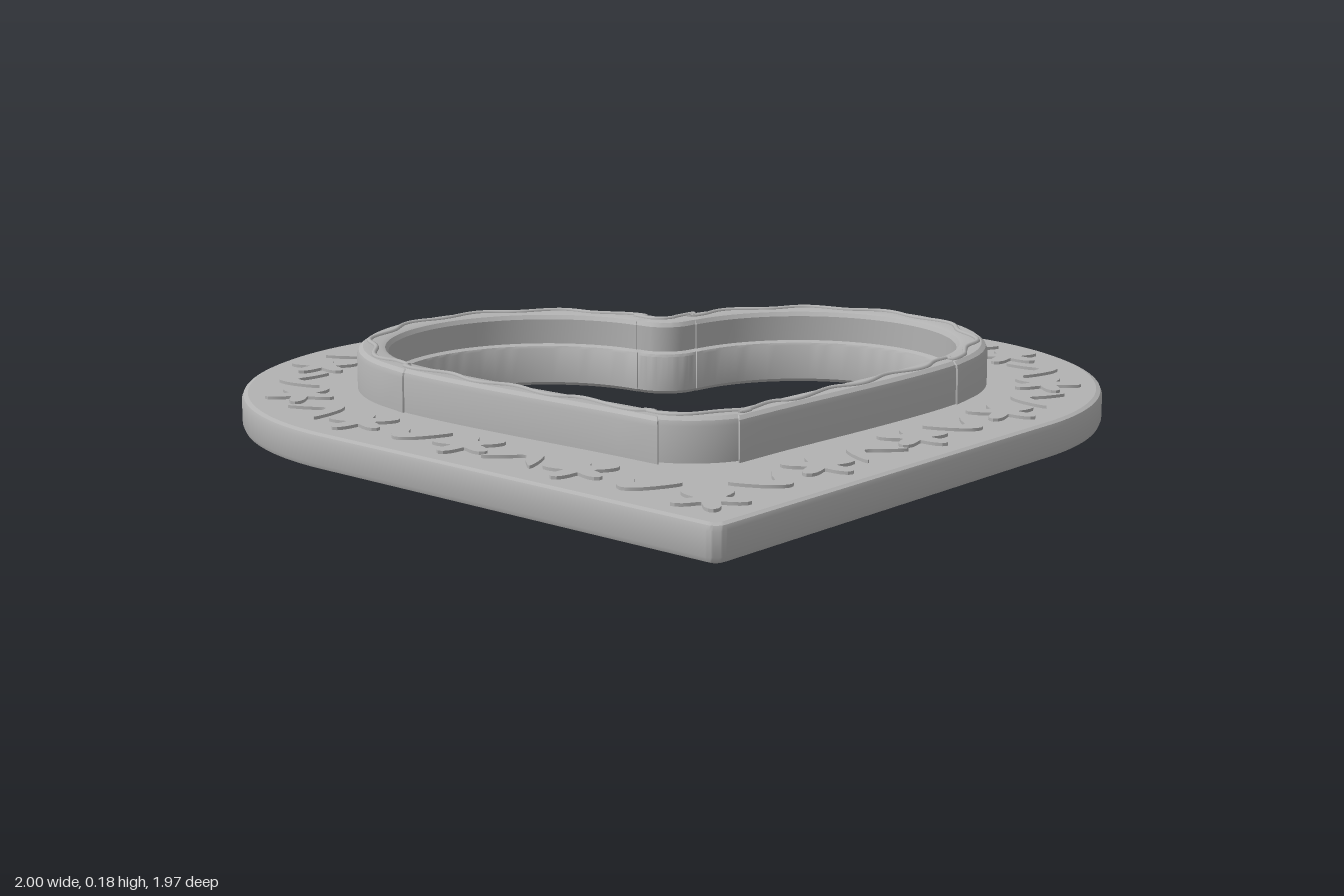
import * as THREE from 'three';
import { toCreasedNormals } from 'three/addons/utils/BufferGeometryUtils.js';

const V2 = (x, z) => new THREE.Vector2(x, z); // plan coordinates: x, z
const BASE_TOP = 0.08, ENGRAVE = 0.008, RELIEF = 0.007;
const rad = THREE.MathUtils.degToRad;

function arc(cx, cz, r, a0, a1, n) {
  return Array.from({ length: n + 1 }, (_, i) => {
    const a = rad(a0 + (a1 - a0) * i / n);
    return V2(cx + r * Math.cos(a), cz + r * Math.sin(a));
  });
}

// Closes a right-hand half outline with its mirror image
function mirrorOutline(half) {
  const pts = half.filter((p, i) => i === 0 || p.distanceTo(half[i - 1]) > 1e-4);
  const left = pts.slice(1, -1).reverse().map(p => V2(-p.x, p.y));
  return [...pts, ...left];
}

// Moves a closed outline outwards by d, keeping corners mitred
function offset(pts, d) {
  const n = pts.length;
  return pts.map((p, i) => {
    const t0 = p.clone().sub(pts[(i + n - 1) % n]).normalize();
    const t1 = pts[(i + 1) % n].clone().sub(p).normalize();
    const t = t0.clone().add(t1).normalize();
    const k = d / Math.max(0.4, t.dot(t1));
    return V2(p.x + t.y * k, p.y - t.x * k);
  });
}

// Sweeps a profile of [offset, height] pairs around a closed outline
function sweep(outline, profile) {
  const pos = [], idx = [], n = outline.length;
  profile.forEach(([d, y]) => offset(outline, d).forEach(p => pos.push(p.x, y, p.y)));
  for (let j = 0; j < profile.length - 1; j++) {
    for (let i = 0; i < n; i++) {
      const a = j * n + i, b = j * n + (i + 1) % n;
      idx.push(a, a + n, b, b, a + n, b + n);
    }
  }
  const g = new THREE.BufferGeometry();
  g.setAttribute('position', new THREE.Float32BufferAttribute(pos, 3));
  g.setIndex(idx);
  return toCreasedNormals(g, 0.6);
}

// Flat plate from y0 to y1, with holes
function plate(outline, holes, y0, y1) {
  const flip = pts => pts.map(p => V2(p.x, -p.y));
  const shape = new THREE.Shape(flip(outline));
  shape.holes = holes.map(h => new THREE.Path(flip(h)));
  const g = new THREE.ExtrudeGeometry(shape, { depth: y1 - y0, bevelEnabled: false });
  g.rotateX(-Math.PI / 2).translate(0, y0, 0);
  return toCreasedNormals(g, 0.6);
}

// Outer heart: two round lobes, straight flanks and a rounded tip
const LX = 0.308, LZ = -0.298, LR = 0.692;
const notch = THREE.MathUtils.radToDeg(Math.asin(LX / LR));
const heart = mirrorOutline([
  ...arc(LX, LZ, LR, -90 - notch, 45, 70),
  ...arc(0, 0.989 - 0.03 * Math.SQRT2, 0.03, 45, 90, 6),
]);

// Opening: softer heart with gently hollow flanks
const flank = new THREE.CubicBezierCurve(V2(0.584, -0.113), V2(0.48, 0.035), V2(0.19, 0.275), V2(0.085, 0.38));
const opening = mirrorOutline([
  ...arc(0, -0.615, 0.1, 90, 45, 6),
  ...arc(0.31, -0.305, 0.335, -135, 35, 48),
  ...flank.getPoints(24),
  ...arc(0, 0.295, 0.12, 45, 90, 8),
]);

// Ornament outlines
const flowerOutline = Array.from({ length: 50 }, (_, i) => {
  const a = i / 50 * Math.PI * 2, r = 0.058 + 0.025 * Math.cos(5 * a);
  return V2(r * Math.sin(a), r * Math.cos(a));
});
const leafOutline = new THREE.CatmullRomCurve3(
  [[-0.07, -0.05], [-0.035, 0.03], [0, 0.055], [0.035, 0.03], [0.07, -0.05], [0.03, -0.02], [0, 0.01], [-0.03, -0.02]]
    .map(([x, y]) => new THREE.Vector3(x, y, 0)), true).getPoints(32).slice(0, -1).map(p => V2(p.x, p.y));

// Places an ornament at p, turned to follow direction t
const place = (outline, p, t, flip = 1) => outline.map(q =>
  V2(p.x + t.x * q.x + t.y * q.y * flip, p.y + t.y * q.x - t.x * q.y * flip));

function makeOrnaments() {
  const list = [{ name: 'tipFlower', pts: place(flowerOutline, V2(0, 0.81), V2(-1, 0)) }];
  const path = new THREE.CatmullRomCurve3(
    [...arc(LX, LZ, 0.56, -105, 45, 30), V2(0.52, 0.282), V2(0.325, 0.477), V2(0.13, 0.672)]
      .map(p => new THREE.Vector3(p.x, 0, p.y)));
  for (let i = 0; i <= 14; i++) {
    const p = path.getPointAt(i / 14), t = path.getTangentAt(i / 14);
    const leaf = i % 2 === 0;
    const pts = place(leaf ? leafOutline : flowerOutline, V2(p.x, p.z), V2(t.x, t.z), i % 4 ? 1 : -1);
    const name = leaf ? 'leafPair' : 'flower';
    list.push({ name: name + 'Left', pts }, { name: name + 'Right', pts: pts.map(q => V2(-q.x, q.y)) });
  }
  return list;
}

export function createModel() {
  const group = new THREE.Group();
  const grey = new THREE.MeshStandardMaterial({ color: 0xb2b2b2 });
  grey.name = 'grey';
  const add = (name, geometry) => {
    const mesh = new THREE.Mesh(geometry, grey);
    mesh.name = name;
    group.add(mesh);
  };
  const ornaments = makeOrnaments();
  const cordHole = r => arc(0, -0.765, r, 0, 360, 28).slice(0, -1);
  const body = offset(heart, -0.014);

  // Heart plate with rounded rim and cord hole
  add('heartRim', sweep(heart, [[-0.014, 0], [-0.004, 0.004], [0, 0.014], [0, 0.066], [-0.004, 0.076], [-0.014, BASE_TOP]]));
  add('heartPlate', plate(body, [offset(opening, 0.008), cordHole(0.039)], ENGRAVE, BASE_TOP));

  // Underside engraved with the same ornaments, a border groove and dashes
  add('engravedUnderside', plate(body,
    [offset(opening, 0.1), cordHole(0.052), ...ornaments.map(o => o.pts)], 0, ENGRAVE));
  const ringPath = d => new THREE.CatmullRomCurve3(
    offset(opening, d).map(p => new THREE.Vector3(p.x, 0, p.y)), true);
  const dashPath = ringPath(0.048);
  const dash = arc(0, 0, 1, 0, 360, 12).slice(0, -1).map(p => V2(p.x * 0.03, p.y * 0.008 + p.x * 0.01));
  const dashes = Array.from({ length: 44 }, (_, i) => {
    const u = (i + 0.5) / 44, p = dashPath.getPointAt(u), t = dashPath.getTangentAt(u);
    return place(dash, V2(p.x, p.z), V2(t.x, t.z), i % 2 ? 1 : -1);
  });
  add('engravedInnerBorder', plate(offset(opening, 0.09), [offset(opening, 0.008), ...dashes], 0, ENGRAVE));

  // Raised ring around the opening, with a rebate inside
  add('raisedRing', sweep(opening, [
    [0.09, BASE_TOP - 0.005], [0.09, 0.158], [0.086, 0.169], [0.076, 0.176], [0.036, 0.176], [0.025, 0.172],
    [0.018, 0.162], [0.018, 0.102], [0.004, 0.098], [0, 0.092], [0, 0.008], [0.008, 0],
  ]));

  // Wavy bead along the top of the ring
  const inner = ringPath(0.045), outer = ringPath(0.067);
  const wave = Array.from({ length: 264 }, (_, i) => {
    const u = i / 264, k = 0.5 + 0.5 * Math.sin(u * 22 * Math.PI * 2);
    return inner.getPointAt(u).lerp(outer.getPointAt(u), k).setY(0.176);
  });
  add('wavyBead', new THREE.TubeGeometry(new THREE.CatmullRomCurve3(wave, true), 528, 0.006, 8, true));

  // Raised flowers and leaves on the plate
  ornaments.forEach(o => add(o.name, plate(o.pts, [], BASE_TOP - 0.002, BASE_TOP + RELIEF)));
  return group;
}
